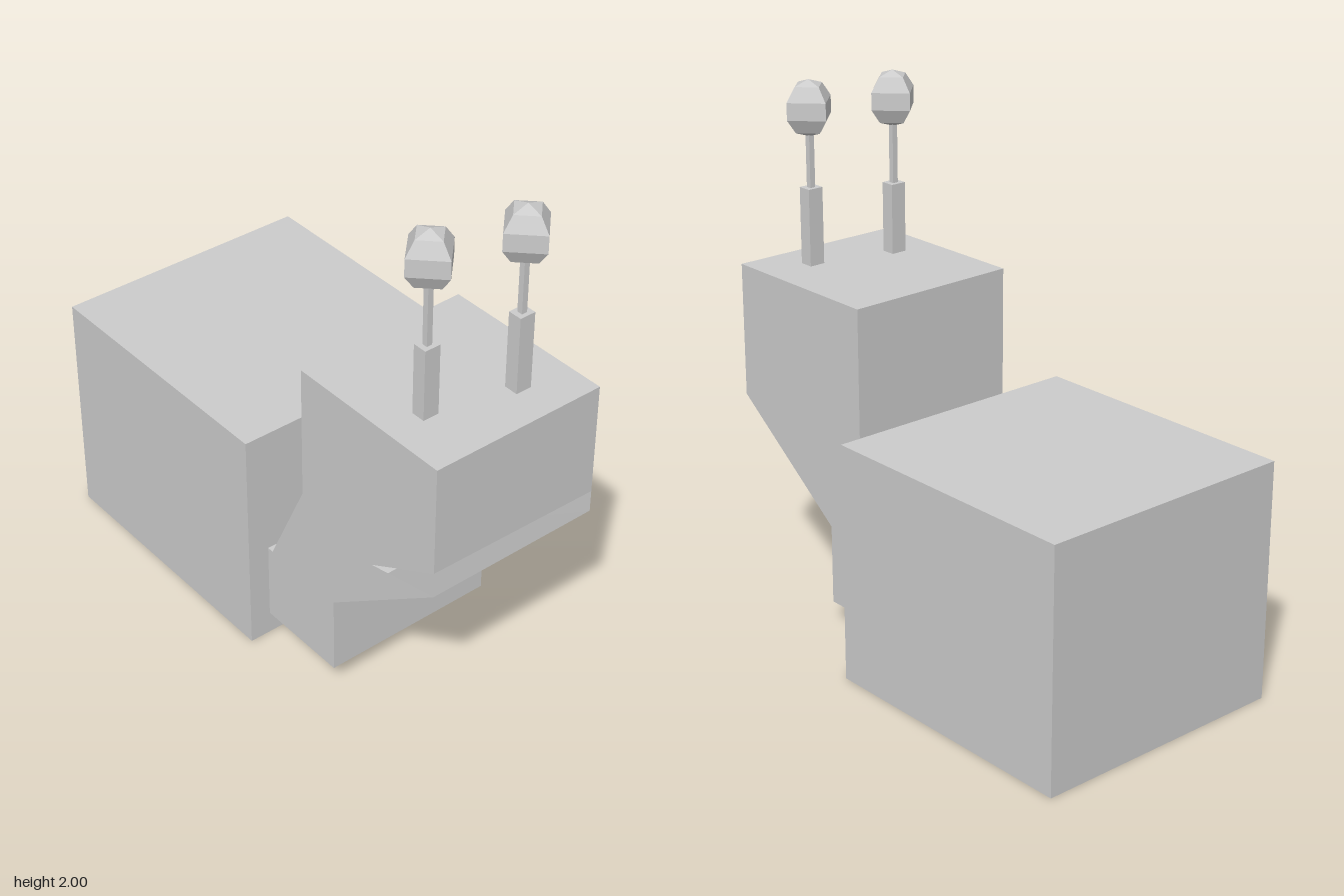
import * as THREE from 'three';

const material = new THREE.MeshStandardMaterial({ color: 0xcccccc, flatShading: true });
const shell = new THREE.MeshStandardMaterial({ color: 0xcccccc, flatShading: true, side: THREE.DoubleSide });

function add(parent, name, geometry, x = 0, y = 0, z = 0, mat = material) {
  const mesh = new THREE.Mesh(geometry, mat);
  mesh.name = name;
  mesh.position.set(x, y, z);
  parent.add(mesh);
  return mesh;
}

// Flat side wall from an outline of [x, y] points
const wall = (points) => new THREE.ShapeGeometry(new THREE.Shape(points.map(([x, y]) => new THREE.Vector2(x, y))));

// Panel spanning two edges: a, b on the near side, c, d on the far side
function panel(a, b, c, d) {
  const g = new THREE.BufferGeometry();
  g.setAttribute('position', new THREE.Float32BufferAttribute([a, c, d, a, d, b].flat(), 3));
  g.computeVertexNormals();
  return g;
}

export function createModel() {
  const model = new THREE.Group();

  // Blocky shell on the back
  add(model, 'body', new THREE.BoxGeometry(1.08, 0.91, 1.02), -0.45, 0.455, 0);

  // Hollow head and neck: outline starts at the mouth and runs counter-clockwise
  const head = new THREE.Group();
  head.name = 'head';
  model.add(head);
  const outline = (lip, shift) => [
    [0.98, lip], [0.98, 1.3], [0.29 + shift, 1.3], [0.29 + shift, 0.78], [0.11 + shift, 0.4],
    [0.09, 0.4], [0.09, 0.09], [0.465, 0.09], [0.465, 0.4], [0.98, 0.78],
  ];
  const near = outline(0.88, 0.006), far = outline(0.865, -0.006);
  const zNear = 0.425, zFar = -0.275;

  // The near wall is cut by the wedge of the mouth, the far wall is whole
  add(head, 'leftWall', wall([...near, [0.67, 0.71]]), 0, 0, zNear, shell);
  add(head, 'rightWall', wall(far), 0, 0, zFar, shell);

  // Panels between the walls, leaving the mouth open
  const names = ['face', 'crown', 'nape', 'backOfNeck', 'ledge', 'footBack', 'footBottom', 'footFront', 'throat'];
  names.forEach((name, i) => {
    add(head, name, panel(
      [...near[i], zNear], [...near[i + 1], zNear],
      [...far[i], zFar], [...far[i + 1], zFar],
    ), 0, 0, 0, shell);
  });

  // Eye stalks: thick base reaching into the head, thin rod, faceted eye
  for (const [side, x, z, top] of [['left', 0.732, 0.26, 1.57], ['right', 0.812, -0.068, 1.595]]) {
    const stalk = new THREE.Group();
    stalk.name = side + 'EyeStalk';
    stalk.position.set(x, 0, z);
    model.add(stalk);
    add(stalk, 'stalkBase', new THREE.BoxGeometry(0.055, top - 0.95, 0.063), 0, (top + 0.95) / 2, 0);
    add(stalk, 'stalkRod', new THREE.BoxGeometry(0.022, 1.84 - top, 0.022), 0, (top + 1.84) / 2, 0);
    add(stalk, 'eye', new THREE.SphereGeometry(0.106, 4, 5), 0, 1.894, 0);
  }
  return model;
}
